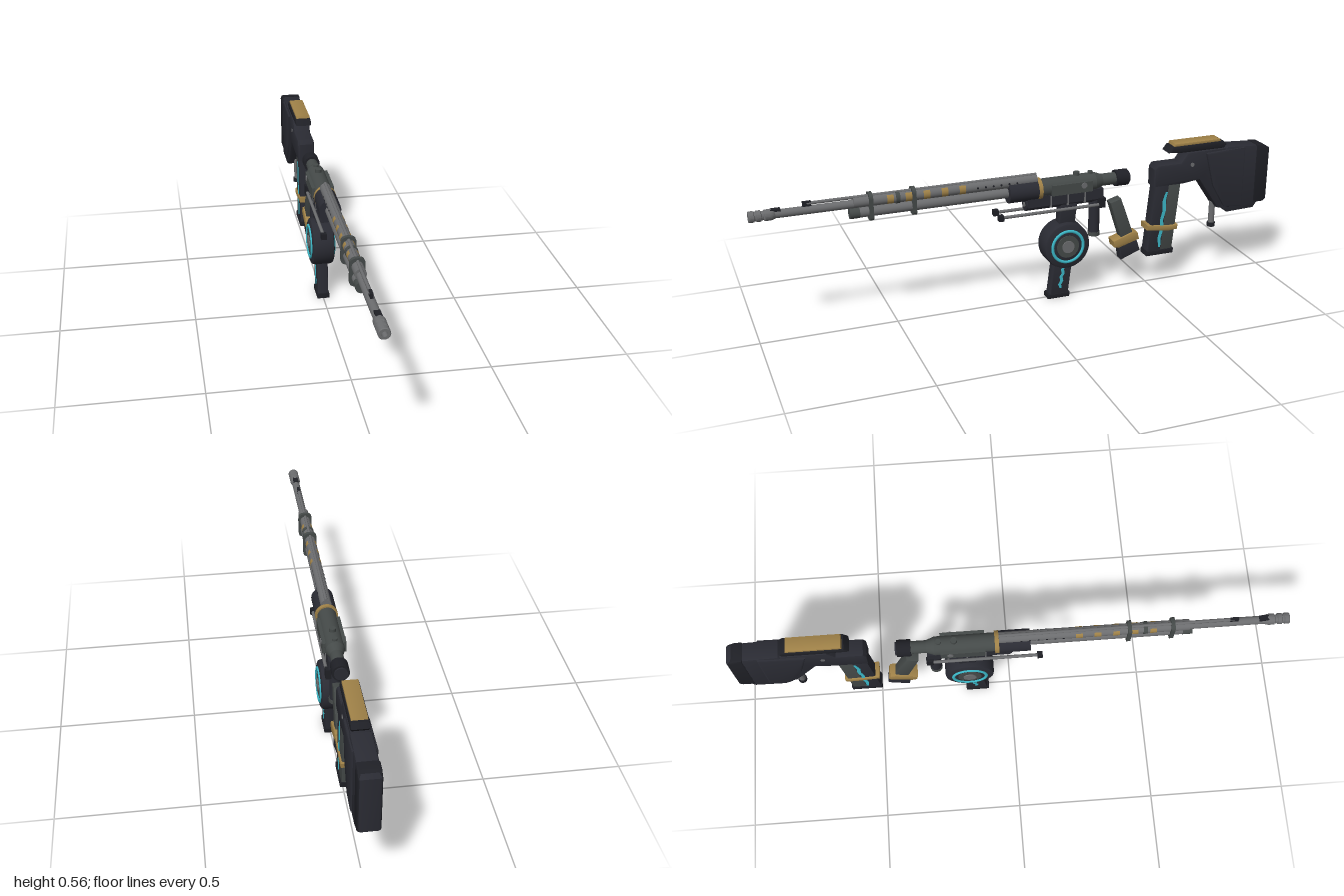
import * as THREE from 'three';
import { toCreasedNormals } from 'three/addons/utils/BufferGeometryUtils.js';

const mat = (name, color) => {
  const m = new THREE.MeshStandardMaterial({ color });
  m.name = name;
  return m;
};

export function createModel() {
  const model = new THREE.Group();
  model.name = 'sectionedRifle';
  const dark = mat('darkPolymer', 0x2a2b33);
  const black = mat('blackRubber', 0x1f2026);
  const grey = mat('greenGrey', 0x454a49);
  const steel = mat('steel', 0x6c6d6f);
  const gold = mat('brass', 0xa08248);
  const cyan = mat('cyanGlow', 0x3cb9c9);

  const add = (name, geo, m, parent = model) => {
    const mesh = new THREE.Mesh(geo, m);
    mesh.name = name;
    parent.add(mesh);
    return mesh;
  };
  // Cylinder lying along z
  const rod = (name, m, r, z0, z1, y, x = 0, rBack = r, seg = 24) => {
    const g = new THREE.CylinderGeometry(r, rBack, z1 - z0, seg).rotateX(Math.PI / 2);
    return add(name, g.translate(x, y, (z0 + z1) / 2), m);
  };
  // Cylinder lying along x
  const axle = (name, m, r, x0, x1, y, z, seg = 32) => {
    const g = new THREE.CylinderGeometry(r, r, x1 - x0, seg).rotateZ(Math.PI / 2);
    return add(name, g.translate((x0 + x1) / 2, y, z), m);
  };
  // Upright cylinder
  const post = (name, m, r, y0, y1, z, x = 0, seg = 16) =>
    add(name, new THREE.CylinderGeometry(r, r, y1 - y0, seg).translate(x, (y0 + y1) / 2, z), m);
  const box = (name, m, w, y0, y1, z0, z1, x = 0) =>
    add(name, new THREE.BoxGeometry(w, y1 - y0, z1 - z0).translate(x, (y0 + y1) / 2, (z0 + z1) / 2), m);
  // Side outline of [z, y] points, given thickness across x
  const slab = (name, m, pts, half, bevel = 0.005, x = 0) => {
    const shape = new THREE.Shape(pts.map(([z, y]) => new THREE.Vector2(z, y)));
    const g = new THREE.ExtrudeGeometry(shape, {
      depth: 2 * (half - bevel), bevelEnabled: bevel > 0, bevelSize: bevel,
      bevelThickness: bevel, bevelOffset: -bevel, bevelSegments: 2,
    });
    g.translate(0, 0, bevel - half).rotateY(-Math.PI / 2).translate(x, 0, 0);
    return add(name, toCreasedNormals(g, 0.6), m);
  };
  // Jagged glowing line on both sides, running from a to b
  const glowLine = (name, a, b, half, width) => {
    const n = 6, front = [], back = [];
    for (let i = 0; i <= n; i++) {
      const t = i / n;
      const z = a[0] + (b[0] - a[0]) * t + (i % 2 ? 0.003 : -0.003);
      const y = a[1] + (b[1] - a[1]) * t;
      const w = width * (i === 0 || i === n ? 0.3 : 0.5);
      front.push([z + w, y]);
      back.unshift([z - w, y]);
    }
    for (const s of [-1, 1]) slab(name, cyan, [...front, ...back], 0.001, 0, s * (half + 0.001));
  };

  // Barrel, muzzle and top rib
  rod('barrel', steel, 0.015, 0.6, 0.94, 0.48);
  const muzzle = [[0.015, 0.91], [0.018, 0.915], [0.02, 0.925], [0.02, 0.945], [0.016, 0.948], [0.016, 0.956],
    [0.02, 0.958], [0.02, 0.972], [0.017, 0.974], [0.017, 0.98], [0.02, 0.982], [0.02, 0.997], [0.018, 1],
    [0.009, 1], [0.009, 0.965], [0, 0.965]];
  const muzzleGeo = new THREE.LatheGeometry(muzzle.map(([r, z]) => new THREE.Vector2(r, z)), 24);
  add('muzzle', toCreasedNormals(muzzleGeo.rotateX(Math.PI / 2), 0.5).translate(0, 0.48, 0), steel);
  rod('topRib', steel, 0.006, -0.04, 0.8, 0.504, 0, 0.006, 10);
  box('frontSight', black, 0.01, 0.485, 0.512, 0.785, 0.815);
  box('sightBase', black, 0.02, 0.488, 0.499, 0.89, 0.925);

  // Barrel shroud with brass side inserts
  rod('shroud', steel, 0.02, -0.04, 0.64, 0.485);
  for (let i = 0; i < 5; i++) {
    const z = 0.51 - i * 0.066;
    for (const side of [0, Math.PI]) {
      const g = new THREE.CylinderGeometry(0.0208, 0.0208, 0.024, 10, 1, true, Math.PI / 2 - 0.9 + side, 1.8);
      add('brassInsert', g.rotateX(Math.PI / 2).translate(0, 0.485, z), gold).material.side = THREE.DoubleSide;
    }
  }
  for (let i = 0; i < 6; i++) axle('ventHole', black, 0.004, -0.0204, 0.0204, 0.486, 0.19 - i * 0.03, 10);

  // Tube below the barrel and clamps
  rod('lowerTube', steel, 0.019, 0.07, 0.63, 0.446);
  rod('lowerTubeCap', grey, 0.02, 0.62, 0.655, 0.446);
  for (const z of [0.58, 0.425]) {
    const clamp = new THREE.Shape();
    clamp.moveTo(-0.026, 0.43);
    clamp.quadraticCurveTo(-0.026, 0.414, 0, 0.414).quadraticCurveTo(0.026, 0.414, 0.026, 0.43);
    clamp.lineTo(0.026, 0.495);
    clamp.quadraticCurveTo(0.026, 0.516, 0, 0.516).quadraticCurveTo(-0.026, 0.516, -0.026, 0.495);
    add('clamp', new THREE.ExtrudeGeometry(clamp, { depth: 0.014, bevelEnabled: false }).translate(0, 0, z - 0.007), grey);
  }
  rod('midCollar', grey, 0.0225, 0.475, 0.49, 0.485);

  // Receiver
  rod('sleeve', dark, 0.04, -0.04, 0.072, 0.447, 0, 0.04, 32);
  rod('sleeveRing', gold, 0.041, -0.055, -0.04, 0.447, 0, 0.041, 32);
  rod('receiver', grey, 0.034, -0.27, -0.055, 0.449);
  rod('receiverTaper', grey, 0.034, -0.3, -0.27, 0.449, 0, 0.023);
  rod('receiverNeck', grey, 0.023, -0.36, -0.3, 0.449);
  rod('rearCap', black, 0.031, -0.405, -0.355, 0.449);
  rod('rearCapLens', dark, 0.024, -0.411, -0.405, 0.449);
  post('topKnob', grey, 0.012, 0.47, 0.494, -0.2);
  post('topKnob', grey, 0.01, 0.465, 0.49, -0.255);
  for (const s of [-1, 1]) {
    box('sideRail', grey, 0.012, 0.425, 0.465, -0.25, -0.09, s * 0.036);
    axle('sideKnob', steel, 0.011, s * 0.038 - 0.007, s * 0.038 + 0.007, 0.452, -0.215, 16);
  }

  // Under-barrel housing
  rod('underTube', dark, 0.025, -0.29, 0.005, 0.392);
  rod('underTubePlug', steel, 0.009, 0.005, 0.008, 0.392);
  box('underHousing', dark, 0.054, 0.385, 0.425, -0.3, 0.0);
  for (const z of [-0.09, -0.157, -0.225]) box('clip', steel, 0.058, 0.377, 0.422, z - 0.003, z + 0.003);

  // Folded bipod
  for (const s of [-1, 1]) {
    rod('bipodLeg', steel, 0.006, -0.29, 0.1, 0.363, s * 0.03, 0.006, 10);
    box('bipodFoot', black, 0.02, 0.352, 0.374, 0.098, 0.117, s * 0.03);
    box('bipodHinge', black, 0.02, 0.352, 0.39, -0.305, -0.28, s * 0.028);
  }

  // Short handle behind the drum
  post('handle', dark, 0.021, 0.245, 0.39, -0.275);
  post('handleFoot', grey, 0.023, 0.232, 0.247, -0.275);

  // Drum magazine
  slab('magazineNeck', dark, [[-0.125, 0.28], [-0.13, 0.385], [-0.2, 0.385], [-0.187, 0.28]], 0.021);
  const drum = [[0, -0.042], [0.08, -0.042], [0.088, -0.038], [0.091, -0.028], [0.091, 0.028], [0.088, 0.038], [0.08, 0.042], [0, 0.042]];
  const drumGeo = new THREE.LatheGeometry(drum.map(([r, h]) => new THREE.Vector2(r, h)), 40);
  add('drum', toCreasedNormals(drumGeo.rotateZ(-Math.PI / 2), 0.6).translate(0, 0.216, -0.153), dark);
  for (const s of [-1, 1]) {
    const ring = new THREE.TorusGeometry(0.0615, 0.006, 8, 40).scale(1, 1, 0.8).rotateY(Math.PI / 2);
    add('drumRing', ring.translate(s * 0.043, 0.216, -0.153), cyan);
    axle('drumFace', grey, 0.044, s * 0.043 - 0.002, s * 0.043 + 0.002, 0.216, -0.153);
    axle('drumHub', steel, 0.024, s * 0.045 - 0.004, s * 0.045 + 0.004, 0.216, -0.153);
  }
  slab('magazineBody', dark, [[-0.09, 0.01], [-0.165, 0.01], [-0.183, 0.16], [-0.108, 0.16]], 0.021);
  slab('magazineBase', black, [[-0.083, 0], [-0.17, 0], [-0.171, 0.018], [-0.084, 0.018]], 0.024, 0.003);
  glowLine('magazineGlow', [-0.146, 0.13], [-0.13, 0.04], 0.021, 0.012);

  // Tilted loose magazine
  slab('looseMagazine', grey, [[-0.334, 0.357], [-0.378, 0.37], [-0.447, 0.18], [-0.397, 0.165]], 0.02, 0.003);
  slab('looseMagazineBand', gold, [[-0.348, 0.201], [-0.353, 0.175], [-0.37, 0.17], [-0.457, 0.196], [-0.45, 0.224], [-0.43, 0.228]], 0.027);
  slab('looseMagazineFoot', dark, [[-0.374, 0.175], [-0.447, 0.197], [-0.464, 0.147], [-0.385, 0.117]], 0.021, 0.004);

  // Stock magazine
  slab('stockMagazine', grey, [[-0.522, 0.41], [-0.625, 0.41], [-0.598, 0.125], [-0.495, 0.125]], 0.025);
  slab('stockMagazineFront', dark, [[-0.519, 0.41], [-0.575, 0.41], [-0.548, 0.125], [-0.492, 0.125]], 0.0262, 0.004);
  slab('stockMagazineBand', gold, [[-0.488, 0.248], [-0.488, 0.226], [-0.58, 0.214], [-0.615, 0.216], [-0.618, 0.236], [-0.58, 0.236]], 0.031, 0.004);
  slab('stockMagazineBase', black, [[-0.489, 0.118], [-0.602, 0.118], [-0.604, 0.138], [-0.491, 0.138]], 0.03, 0.004);
  glowLine('stockMagazineGlow', [-0.562, 0.375], [-0.54, 0.15], 0.0262, 0.013);

  // Stock
  slab('stockBody', dark, [[-0.51, 0.4], [-0.51, 0.47], [-0.522, 0.487], [-0.618, 0.487], [-0.645, 0.524], [-0.82, 0.526],
    [-0.82, 0.272], [-0.785, 0.282], [-0.7, 0.408], [-0.63, 0.4]], 0.034, 0.01);
  slab('stockPanel', dark, [[-0.72, 0.515], [-0.89, 0.522], [-0.89, 0.275], [-0.81, 0.285], [-0.755, 0.38]], 0.042, 0.008);
  slab('butt', dark, [[-0.8, 0.515], [-0.815, 0.53], [-0.97, 0.52], [-1, 0.505], [-1, 0.295], [-0.985, 0.283],
    [-0.96, 0.283], [-0.945, 0.262], [-0.83, 0.258], [-0.8, 0.28]], 0.036, 0.008);
  slab('buttPad', black, [[-0.94, 0.524], [-0.972, 0.521], [-0.998, 0.503], [-0.998, 0.296], [-0.985, 0.285], [-0.94, 0.285]], 0.038, 0.006);
  for (const s of [-1, 1]) axle('stockPin', steel, 0.008, s * 0.034 - 0.002, s * 0.034 + 0.002, 0.475, -0.665, 16);

  // Cheek rest
  for (const z of [-0.66, -0.74]) post('cheekPost', gold, 0.008, 0.515, 0.535, z);
  slab('cheekRest', black, [[-0.565, 0.53], [-0.582, 0.553], [-0.795, 0.555], [-0.812, 0.54], [-0.8, 0.525], [-0.62, 0.525]], 0.031, 0.006);
  slab('cheekPad', gold, [[-0.588, 0.552], [-0.592, 0.563], [-0.782, 0.563], [-0.787, 0.552]], 0.027, 0.002);

  // Rear support leg
  post('supportLeg', steel, 0.012, 0.205, 0.3, -0.78);
  post('supportFoot', black, 0.016, 0.196, 0.212, -0.78);

  return model;
}
